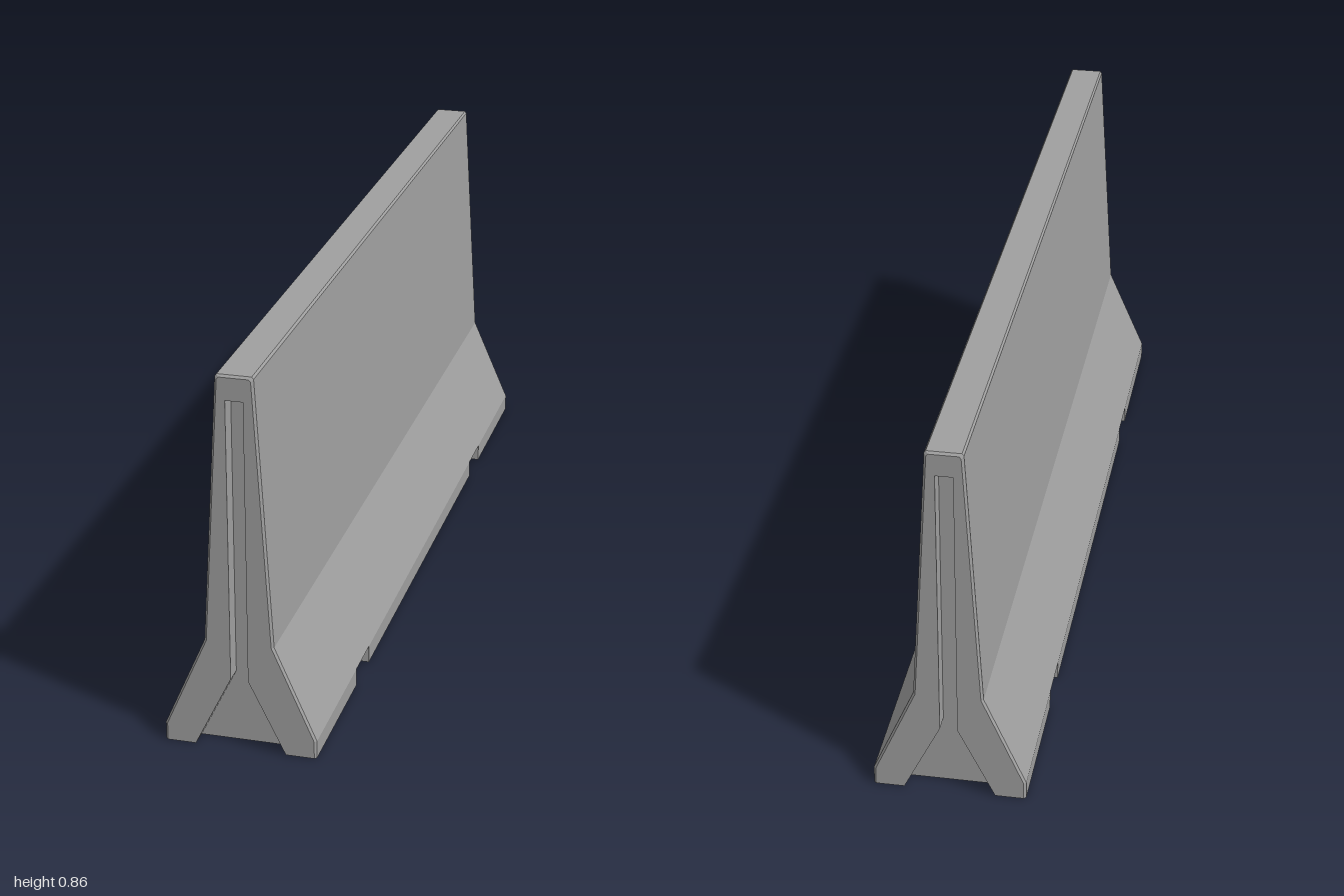
import * as THREE from 'three';

const HALF = 0.9947;   // half length
const BEVEL = 0.005;   // small chamfer round the ends and along the top
const SLOT = 0.04;     // depth of the joint recess in each end
const NOTCH = 0.02;    // depth of the lifting notches in the base
const NOTCHES = [[-0.624, -0.514], [0.551, 0.661]]; // on the +x side; -x side is turned half round

// One half of the cross-section, from the recess top, out along the base, up to the top
function halfProfile({ slot, notch, inset }) {
  const foot = 0.1675 - inset;
  const cut = notch ? foot - NOTCH : foot;
  return [
    [0.019, slot ? 0.8 : 0],
    [0.019, slot ? 0.165 : 0],
    [0.1, 0],
    [cut, 0],
    [cut, 0.04],
    [foot, 0.04],
    [0.076 - inset, 0.25],
    [0.041 - inset, 0.85 - inset],
    [0.037 - inset, 0.855 - inset],
  ];
}

function ring(z, slot, right, left, inset) {
  const r = halfProfile({ slot, notch: right, inset });
  const l = halfProfile({ slot, notch: left, inset }).reverse();
  return [
    ...r.map(([x, y]) => new THREE.Vector3(x, y, z)),
    ...l.map(([x, y]) => new THREE.Vector3(-x, y, z)),
  ];
}

function barrierGeometry() {
  // Break the length wherever the section changes
  const mirrored = NOTCHES.map(([a, b]) => [-b, -a]);
  const stops = [-HALF, -HALF + BEVEL, -HALF + SLOT, HALF - SLOT, HALF - BEVEL, HALF,
    ...NOTCHES.flat(), ...mirrored.flat()].sort((a, b) => a - b);
  const within = (z, spans) => spans.some(([a, b]) => z > a && z < b);

  const rings = [];
  for (let i = 0; i < stops.length - 1; i++) {
    const mid = (stops[i] + stops[i + 1]) / 2;
    for (const z of [stops[i], stops[i + 1]]) {
      const inset = Math.abs(z) === HALF ? BEVEL : 0;
      rings.push(ring(z, Math.abs(mid) > HALF - SLOT, within(mid, NOTCHES), within(mid, mirrored), inset));
    }
  }

  const positions = [];
  const tri = new THREE.Triangle();
  const face = (a, b, c) => {
    if (tri.set(a, b, c).getArea() > 1e-9) positions.push(...a.toArray(), ...b.toArray(), ...c.toArray());
  };

  // Skin between neighbouring sections; equal z gives the recess and notch walls
  for (let k = 0; k < rings.length - 1; k++) {
    const p = rings[k], q = rings[k + 1];
    for (let i = 0; i < p.length; i++) {
      const j = (i + 1) % p.length;
      face(p[i], p[j], q[j]);
      face(p[i], q[j], q[i]);
    }
  }

  // End faces
  const cap = (points, flip) => {
    const unique = points.filter((p, i) => i === 0 || p.distanceTo(points[i - 1]) > 1e-6);
    const flat = unique.map((p) => new THREE.Vector2(p.x, p.y));
    for (const [a, b, c] of THREE.ShapeUtils.triangulateShape(flat, [])) {
      if (flip) face(unique[a], unique[c], unique[b]);
      else face(unique[a], unique[b], unique[c]);
    }
  };
  cap(rings[0], true);
  cap(rings[rings.length - 1], false);

  const geometry = new THREE.BufferGeometry();
  geometry.setAttribute('position', new THREE.Float32BufferAttribute(positions, 3));
  geometry.computeVertexNormals();
  return geometry;
}

export function createModel() {
  const concrete = new THREE.MeshStandardMaterial({ color: 0xa0a0a0 });
  concrete.name = 'concrete grey';

  const barrier = new THREE.Mesh(barrierGeometry(), concrete);
  barrier.name = 'concreteBarrier';
  barrier.rotation.y = 0.035; // stands slightly askew

  const group = new THREE.Group();
  group.name = 'roadBarrier';
  group.add(barrier);
  return group;
}
